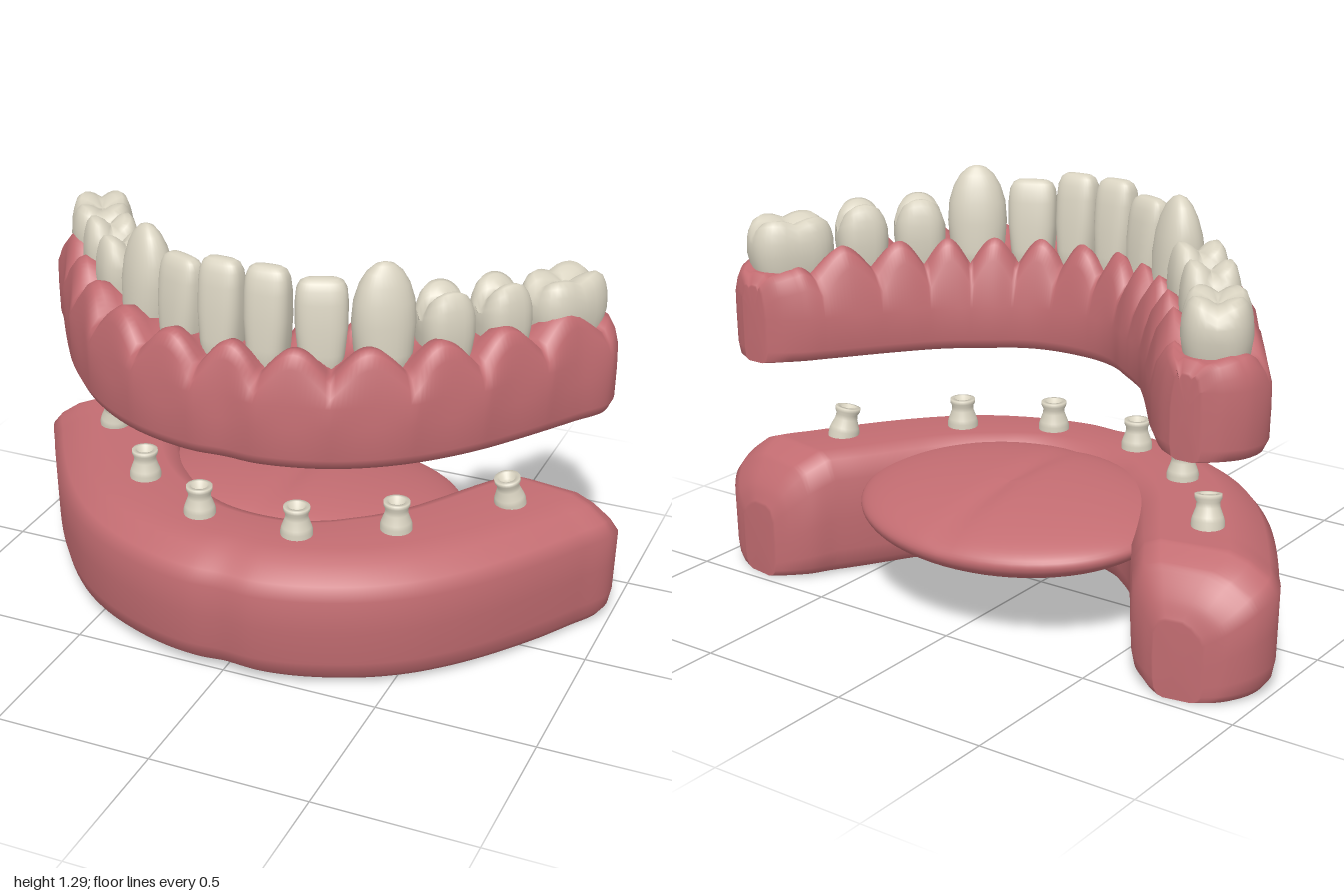
import * as THREE from 'three';

const gumMat = new THREE.MeshStandardMaterial({ color: 0xc26c71 });
gumMat.name = 'gum pink';
const toothMat = new THREE.MeshStandardMaterial({ color: 0xd9d3c1 });
toothMat.name = 'ivory';

// Half plans of each arch, [x, z], from the midline (k = 0) to the rounded end (k = 14).
// Even k lie between teeth, odd k at tooth centres.
const UPPER = {
  outer: [[0, .485], [.1, .49], [.21, .472], [.32, .437], [.43, .38], [.532, .305], [.614, .226], [.693, .134],
    [.76, .04], [.825, -.058], [.89, -.16], [.953, -.26], [.945, -.345], [.895, -.41], [.835, -.443]],
  inner: [[0, .162], [.07, .157], [.13, .143], [.19, .114], [.24, .076], [.293, .037], [.34, 0], [.387, -.045],
    [.433, -.1], [.483, -.163], [.54, -.24], [.595, -.315], [.635, -.365], [.69, -.415], [.745, -.445]],
};
const LOWER = {
  outer: [[0, .535], [.105, .54], [.215, .522], [.33, .484], [.45, .427], [.56, .352], [.65, .267], [.733, .17],
    [.805, .07], [.872, -.034], [.938, -.145], [.998, -.255], [.988, -.346], [.935, -.415], [.867, -.45]],
  inner: [[0, .16], [.07, .155], [.13, .14], [.19, .11], [.24, .07], [.29, .03], [.332, -.01], [.374, -.06],
    [.415, -.12], [.458, -.188], [.508, -.267], [.56, -.342], [.605, -.41], [.665, -.452], [.72, -.474]],
};
const LAST = UPPER.outer.length - 1;

// Skin closed rings of points and close both ends
function loft(rows) {
  const n = rows[0].length, pos = [], idx = [];
  rows.forEach(r => r.forEach(p => pos.push(p.x, p.y, p.z)));
  for (let i = 0; i < rows.length - 1; i++) {
    for (let j = 0; j < n; j++) {
      const a = i * n + j, b = i * n + (j + 1) % n;
      idx.push(a, a + n, b + n, a, b + n, b);
    }
  }
  [0, rows.length - 1].forEach((i, end) => {
    const c = new THREE.Vector3();
    rows[i].forEach(p => c.addScaledVector(p, 1 / n));
    const ci = pos.length / 3;
    pos.push(c.x, c.y, c.z);
    for (let j = 0; j < n; j++) {
      const a = i * n + j, b = i * n + (j + 1) % n;
      if (end) idx.push(ci, b, a); else idx.push(ci, a, b);
    }
  });
  const g = new THREE.BufferGeometry();
  g.setAttribute('position', new THREE.Float32BufferAttribute(pos, 3));
  g.setIndex(idx);
  g.computeVertexNormals();
  return g;
}

// Mirror a half plan into one curve from right end to left end
function archCurve(half) {
  const pts = half.map(([x, z]) => new THREE.Vector3(x, 0, z));
  const mirrored = pts.slice(1).reverse().map(p => new THREE.Vector3(-p.x, 0, p.z));
  return new THREE.CatmullRomCurve3([...mirrored, ...pts]);
}

// Sweep a section round the arch. section(k) lists [side (1 outer, 0 inner), inset, y]
function sweepArch(plan, section) {
  const outer = archCurve(plan.outer), inner = archCurve(plan.inner);
  const rows = [], steps = LAST * 2 * 8;
  for (let i = 0; i <= steps; i++) {
    const t = i / steps, k = Math.abs(t * 2 - 1) * LAST;
    const o = outer.getPoint(t), n = inner.getPoint(t);
    const across = o.clone().sub(n), width = across.length();
    across.normalize();
    const shrink = Math.min(1, width / .36);
    rows.push(section(k).map(([side, inset, y]) => {
      const p = side ? o.clone().addScaledVector(across, -inset * shrink) : n.clone().addScaledVector(across, inset * shrink);
      p.y = y;
      return p;
    }));
  }
  return loft(rows);
}

// Piecewise-linear lookup in [[k, value], ...]
function ramp(table, k) {
  for (let i = 1; i < table.length; i++) {
    const [k0, v0] = table[i - 1], [k1, v1] = table[i];
    if (k <= k1) return v0 + (v1 - v0) * Math.max(0, (k - k0) / (k1 - k0));
  }
  return table[table.length - 1][1];
}

// Lower jaw: bevelled section that drops at the back ends
function jawSection(k) {
  const s = ramp([[0, 1], [11, 1], [12, .9], [13, .73], [14, .58]], k);
  const round = ramp([[0, 1.3], [5, 1], [9, .7], [14, .7]], k);
  return [[1, .11 * round, 0], [1, .055 * round, .01], [1, .023 * round, .04], [1, .009 * round, .09], [1, .003, .2],
    [1, 0, .31], [1, .03, .347], [1, .09, .388], [1, .15, .41], [0, .09, .41], [0, .04, .39], [0, .005, .33],
    [0, 0, .2], [0, .005, .09], [0, .015, .04], [0, .04, .01], [0, .08, 0]]
    .map(([side, inset, y]) => [side, inset, y * s]);
}

// Upper gum: scalloped margin rising between the teeth, with shallow root ridges
function gumSection(k) {
  const between = Math.cos(k * Math.PI / 2) ** 2;
  const p = between ** .55 * ramp([[0, 1], [10, 1], [12, .25], [14, 0]], k);
  const drop = ramp([[0, 0], [12, 0], [13, -.008], [14, .03]], k);
  const h = .99 + .083 * p - drop, mid = .99 + .03 * p - drop, g = .014 * p;
  return [[1, .07, .715], [1, .02, .722], [1, .004, .755], [1, g * .5, .85], [1, g, .92], [1, .014 + g, h - .045],
    [1, .04 + g, h - .01], [1, .075, h], [1, .112, h - .008], [1, .15, mid],
    [0, .13, mid], [0, .1, h - .015], [0, .075, h], [0, .045 + g, h - .02], [0, .015 + g, h - .065],
    [0, 0, .86], [0, 0, .755], [0, .02, .722], [0, .07, .715]];
}

// Crown profiles: [height fraction, width, depth, share of cusp relief]
const PROFILES = {
  incisor: [[0, .7, 1, 0], [.3, .9, 1, 0], [.55, 1, .95, 0], [.78, 1, .8, 0], [.9, .95, .64, 0],
    [.965, .82, .46, 0], [.993, .62, .28, 0], [1, .3, .12, 0]],
  canine: [[0, .72, 1, 0], [.25, .92, 1, 0], [.5, 1, .97, 0], [.68, .95, .84, 0], [.82, .79, .66, 0],
    [.92, .57, .46, 0], [.98, .31, .26, 0], [1, .1, .08, 0]],
  molar: [[0, .78, .78, 0], [.25, .9, .92, 0], [.5, 1, 1, 0], [.7, .99, .97, .2], [.84, .95, .91, .7],
    [.95, .87, .82, 1], [1, .72, .67, 1], [1, .5, .47, 1], [1, .3, .28, 1], [1, .12, .1, 1]],
};

function toothGeometry({ w, d, top, type, cuspAt = 0, relief = 0 }) {
  const base = .93, n = 32, power = type === 'canine' ? .9 : .7;
  const bend = v => Math.sign(v) * Math.abs(v) ** power;
  return loft(PROFILES[type].map(([v, sx, sz, share]) => Array.from({ length: n }, (_, j) => {
    const t = j / n * Math.PI * 2;
    const a = bend(Math.cos(t)) * sx, b = bend(Math.sin(t)) * sz;
    const dip = relief * share * ((cuspAt ? 2 : 1) * (Math.abs(a) - cuspAt) ** 2 + 2 * (Math.abs(b) - .6) ** 2);
    return new THREE.Vector3(a * w / 2, base + (top - base) * v - dip, b * d / 2);
  })));
}

const TEETH = [
  { name: 'centralIncisor', x: .073, z: .312, turn: .06, w: .138, d: .13, top: 1.277, type: 'incisor' },
  { name: 'lateralIncisor', x: .222, z: .27, turn: .4, w: .155, d: .125, top: 1.247, type: 'incisor' },
  { name: 'canine', x: .38, z: .183, turn: .62, w: .19, d: .155, top: 1.288, type: 'canine' },
  { name: 'firstPremolar', x: .523, z: .062, turn: .75, w: .165, d: .18, top: 1.192, type: 'molar', relief: .05 },
  { name: 'secondPremolar', x: .648, z: -.08, turn: .9, w: .165, d: .18, top: 1.184, type: 'molar', relief: .05 },
  { name: 'molar', x: .783, z: -.27, turn: 1.05, w: .27, d: .205, top: 1.155, type: 'molar', cuspAt: .5, relief: .034 },
];

// Tongue: flattened ellipsoid, fuller below, with a shallow groove along the top
function tongueGeometry() {
  const g = new THREE.SphereGeometry(1, 64, 40);
  g.scale(.52, .095, .39);
  const p = g.attributes.position;
  for (let i = 0; i < p.count; i++) {
    const y = p.getY(i);
    p.setY(i, y > 0 ? y * (1 - .12 * Math.exp(-((p.getX(i) / .04) ** 2))) : y * 1.2);
  }
  g.computeVertexNormals();
  return g;
}

export function createModel() {
  const model = new THREE.Group();
  model.name = 'implantDenture';
  const add = (parent, name, geo, mat) => {
    const m = new THREE.Mesh(geo, mat);
    m.name = name;
    parent.add(m);
    return m;
  };

  const lower = new THREE.Group();
  lower.name = 'lowerJaw';
  const upper = new THREE.Group();
  upper.name = 'denture';
  model.add(lower, upper);

  add(lower, 'jawRidge', sweepArch(LOWER, jawSection), gumMat);
  const tongue = add(lower, 'tongue', tongueGeometry(), gumMat);
  tongue.position.set(0, .316, -.157);
  tongue.rotation.x = -.11;

  // Implant posts with a hollow top; the rear pair leans
  const post = new THREE.LatheGeometry([[.05, -.03], [.05, .015], [.046, .028], [.036, .055], [.035, .07], [.041, .082],
    [.041, .094], [.027, .095], [.02, .075], [0, .075]].map(([r, y]) => new THREE.Vector2(r, y)), 28);
  [[.163, .295, 0], [.428, .145, 0], [.695, -.152, 1]].forEach(([x, z, lean]) => {
    for (const s of [1, -1]) {
      const m = add(lower, 'implantPost', post, toothMat);
      m.position.set(s * x - .007, .41, z);
      m.rotation.set(.17 * lean, 0, .1 * lean * s);
    }
  });

  // Denture: gum base and mirrored teeth
  add(upper, 'gumBase', sweepArch(UPPER, gumSection), gumMat);
  for (const t of TEETH) {
    const geo = toothGeometry(t);
    for (const s of [1, -1]) {
      const m = add(upper, t.name, geo, toothMat);
      m.position.set(s * t.x, 0, t.z);
      m.rotation.y = s * t.turn;
    }
  }
  return model;
}
